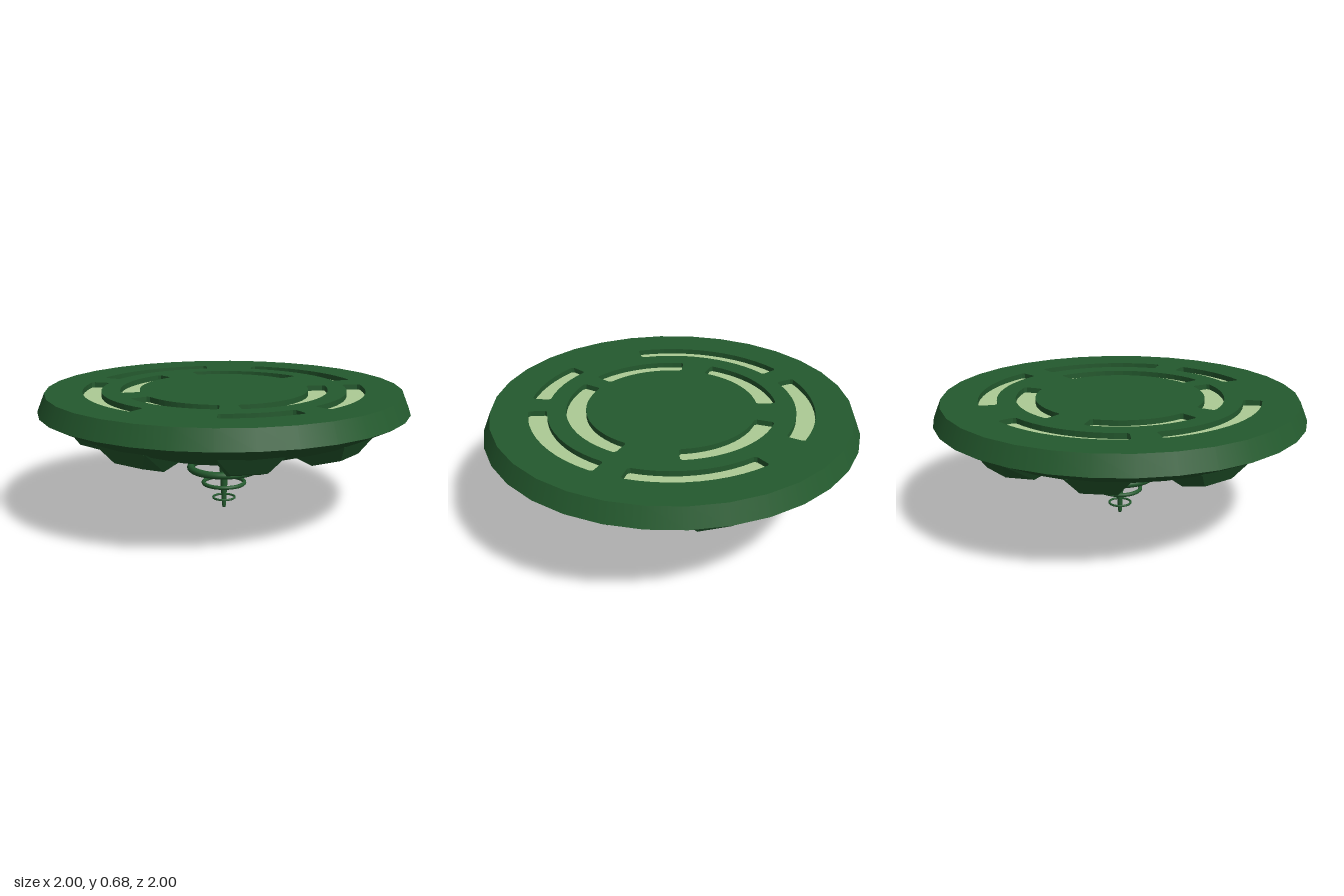
import * as THREE from 'three';
import { ConvexGeometry } from 'three/addons/geometries/ConvexGeometry.js';

const SIDES = 32;
const STEP = (Math.PI * 2) / SIDES; // all slots start and end on this angular grid

const green = new THREE.MeshStandardMaterial({ color: 0x245a2e });
green.name = 'dark green';
const pale = new THREE.MeshStandardMaterial({ color: 0xadcb95 });
pale.name = 'pale green';

function add(parent, name, geometry, material = green) {
  const mesh = new THREE.Mesh(geometry, material);
  mesh.name = name;
  parent.add(mesh);
  return mesh;
}

function lathe(points, sides = SIDES) {
  return new THREE.LatheGeometry(points.map(([r, y]) => new THREE.Vector2(r, y)), sides);
}

// Outline of a curved slot between two radii, with small chamfered corners
function slotPoints(inner, outer, from, to) {
  const c = 0.012;
  const pts = [];
  const put = (r, a) => pts.push(new THREE.Vector2(r * Math.cos(a), r * Math.sin(a)));
  const a0 = from * STEP, a1 = to * STEP;
  const n = Math.round((to - from) * 2);
  const sweep = (r, start, end) => {
    for (let i = 0; i <= n; i++) put(r, start + ((end - start) * i) / n);
  };
  put(outer - c, a0);
  sweep(outer, a0 + c / outer, a1 - c / outer);
  put(outer - c, a1);
  put(inner + c, a1);
  sweep(inner, a1 - c / inner, a0 + c / inner);
  put(inner + c, a0);
  return pts;
}

export function createModel() {
  const model = new THREE.Group();
  model.name = 'saucer';

  // Hull: sloped rim, shallow underside and flat bottom
  add(model, 'rim', lathe([[1, 0.58], [0.96, 0.68]]));
  add(model, 'underside', lathe([[0.2, 0.3], [0.5, 0.382], [0.8, 0.482], [1, 0.58]]));
  add(model, 'bottomPlate', lathe([[0, 0.3], [0.2, 0.3]]));

  // Slots in grid steps, counter-clockwise from +x as seen from above
  const rings = [
    { inner: 0.66, outer: 0.76, arcs: [[5, 10], [-1, 4], [-5, -2], [-14, -8], [12, 17]] },
    { inner: 0.455, outer: 0.56, arcs: [[7, 13], [-4, 4], [-10, -5], [15, 20.5]] },
  ];

  // Top deck with cut-out slots and pale slot floors
  const deck = new THREE.Shape();
  for (let i = 0; i < SIDES; i++) {
    const x = 0.96 * Math.cos(i * STEP), y = 0.96 * Math.sin(i * STEP);
    if (i) deck.lineTo(x, y); else deck.moveTo(x, y);
  }
  deck.closePath();
  const floors = new THREE.Group();
  floors.name = 'slotFloors';
  for (const { inner, outer, arcs } of rings) {
    for (const [from, to] of arcs) {
      const pts = slotPoints(inner, outer, from, to);
      deck.holes.push(new THREE.Path(pts));
      const floor = new THREE.ShapeGeometry(new THREE.Shape(pts));
      floor.rotateX(-Math.PI / 2).translate(0, 0.651, 0);
      add(floors, 'slotFloor', floor, pale);
    }
  }
  const deckGeometry = new THREE.ExtrudeGeometry(deck, { depth: 0.03, bevelEnabled: false });
  deckGeometry.rotateX(-Math.PI / 2).translate(0, 0.65, 0);
  add(model, 'topDeck', deckGeometry);
  model.add(floors);

  // Eight tapered pods around the underside: [half width, height, radius]
  const podCorners = [
    [0.16, 0.505, 0.835], [0.09, 0.415, 0.78], [0.08, 0.36, 0.61], [0.125, 0.41, 0.51],
  ];
  const podPoints = podCorners.flatMap(([w, y, r]) => [
    new THREE.Vector3(w, y, r), new THREE.Vector3(-w, y, r),
  ]);
  const podGeometry = new ConvexGeometry(podPoints);
  for (let i = 0; i < 8; i++) {
    add(model, 'pod', podGeometry).rotation.y = (i * Math.PI) / 4;
  }

  // Antenna spike with three floating rings
  add(model, 'spike', lathe([[0, 0], [0.008, 0.003], [0.011, 0.015], [0.03, 0.305]], 16));
  for (const [y, outer, tube] of [[0.237, 0.205, 0.02], [0.148, 0.125, 0.011], [0.061, 0.066, 0.006]]) {
    const ring = new THREE.TorusGeometry(outer - tube, tube, 12, 32);
    ring.rotateX(Math.PI / 2).translate(0, y, 0);
    add(model, 'antennaRing', ring);
  }

  return model;
}
